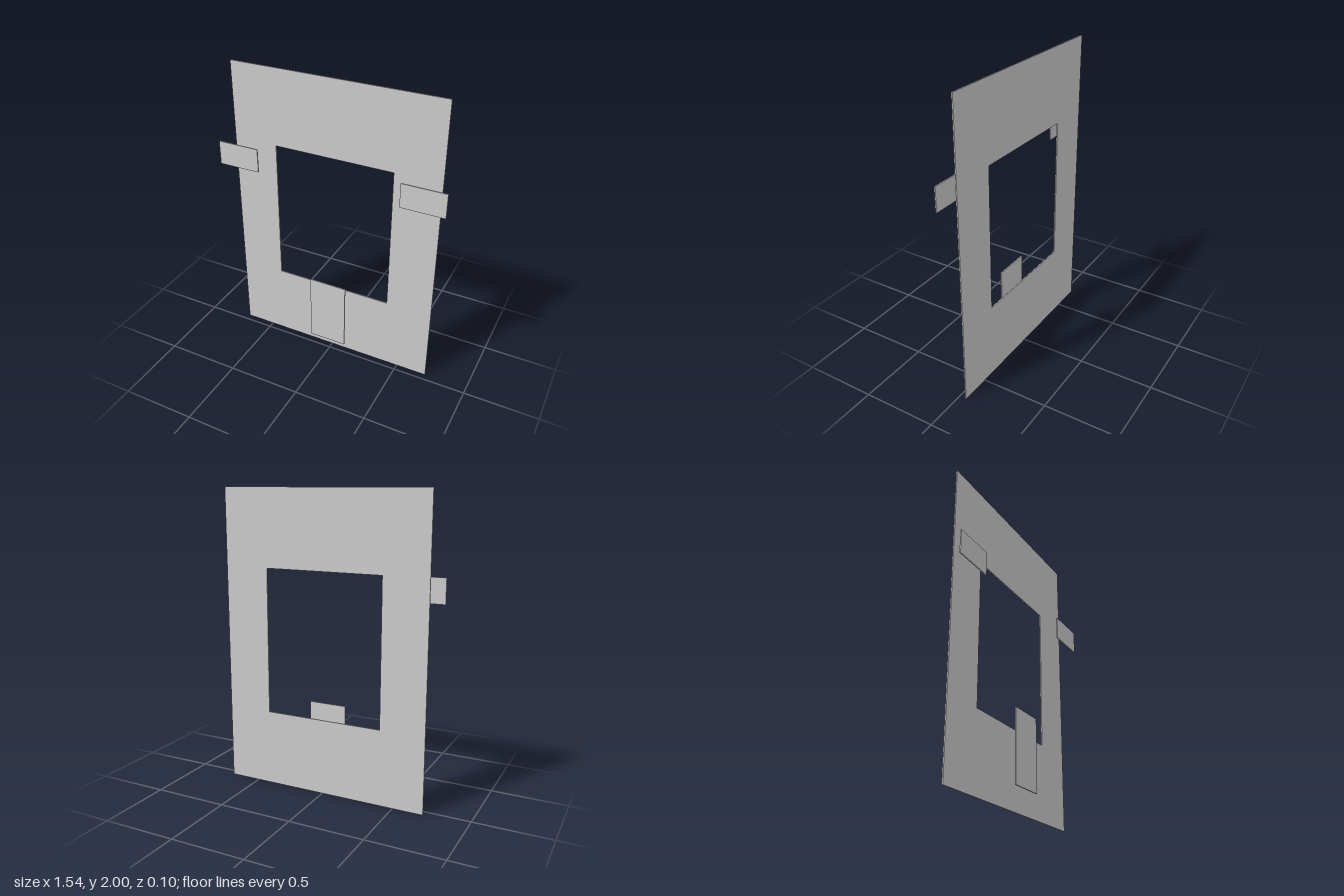
import * as THREE from 'three';

const THICK = 0.008;
const material = new THREE.MeshStandardMaterial({ color: 0xcccccc });

// Traces a rectangle on a shape or path
function rect(path, x0, y0, x1, y1) {
  path.moveTo(x0, y0);
  path.lineTo(x1, y0);
  path.lineTo(x1, y1);
  path.lineTo(x0, y1);
  path.closePath();
  return path;
}

// Thin upright plate centred on depth z
function plate(name, outline, z) {
  const geometry = new THREE.ExtrudeGeometry(outline, { depth: THICK, bevelEnabled: false });
  const mesh = new THREE.Mesh(geometry, material);
  mesh.name = name;
  mesh.position.z = z - THICK / 2;
  return mesh;
}

export function createModel() {
  const group = new THREE.Group();
  group.name = 'windowPanel';

  // Back panel with a rectangular opening
  const panel = rect(new THREE.Shape(), -0.705, 0, 0.71, 2);
  panel.holes.push(rect(new THREE.Path(), -0.404, 0.512, 0.402, 1.486));
  group.add(plate('framePanel', panel, -0.048));

  // Separate plates floating in front of the panel
  const tabs = [
    ['rightTab', -0.771, 1.322, -0.486, 1.482],
    ['leftTab', 0.484, 1.322, 0.771, 1.482],
    ['bottomTab', -0.12, 0.12, 0.139, 0.597],
  ];
  for (const [name, ...corners] of tabs) {
    group.add(plate(name, rect(new THREE.Shape(), ...corners), 0.048));
  }
  return group;
}
